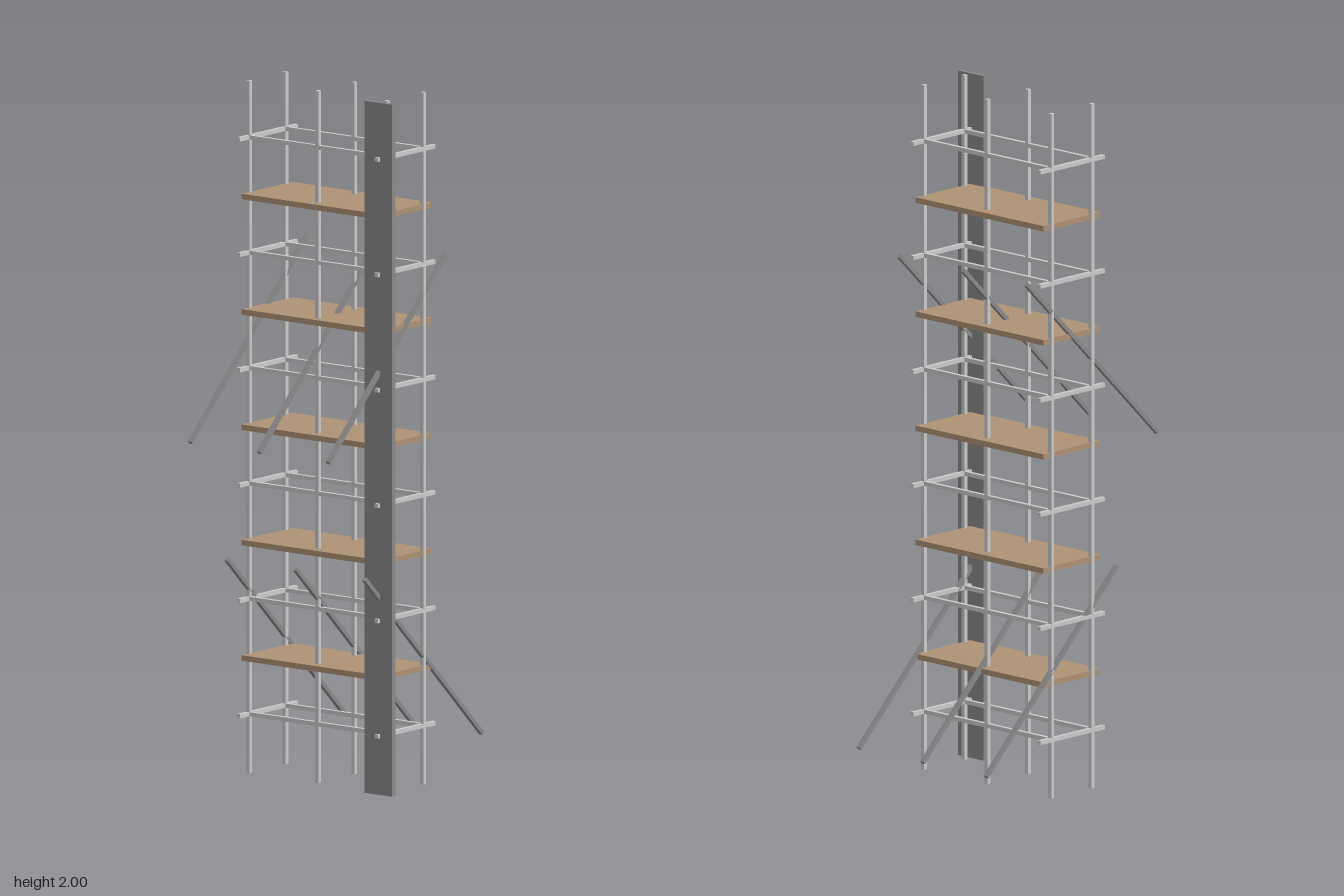
import * as THREE from 'three';

export function createModel() {
  const model = new THREE.Group();
  const steel = new THREE.MeshStandardMaterial({ color: 0xcccccc });
  const darkSteel = new THREE.MeshStandardMaterial({ color: 0x8a8a8a });
  const wood = new THREE.MeshStandardMaterial({ color: 0xae9275 });

  const T = 0.012; // bar thickness
  const columns = [-0.272, -0.0225, 0.227];
  const rows = [-0.083, 0.083];
  const midX = columns[1];
  const bay = 1 / 3;

  function box(name, size, position, material) {
    const mesh = new THREE.Mesh(new THREE.BoxGeometry(...size), material);
    mesh.name = name;
    mesh.position.set(...position);
    model.add(mesh);
    return mesh;
  }

  // Upright poles
  for (const x of columns) for (const z of rows) box('upright', [T, 2, T], [x, 1, z], steel);

  // Guard rails halfway up each bay: long ledgers and end transoms
  for (let i = 0; i < 6; i++) {
    const y = (i + 0.5) * bay + 0.003;
    for (const z of rows) box('ledger', [0.511, T, T], [midX, y, z], steel);
    for (const x of [columns[0], columns[2]]) box('transom', [T, T, 0.264], [x, y, -0.001], steel);
  }

  // Wooden decks
  for (let i = 1; i < 6; i++) {
    box('deck', [0.503, 0.016, 0.232], [midX, i * bay + 0.002, -0.001], wood);
  }

  // Diagonal braces, crossing the front and rear uprights
  for (const x of columns) {
    box('upperBrace', [T, T, 0.75], [x, 1.255, 0.084], darkSteel).rotation.x = Math.PI / 4.06;
    box('lowerBrace', [T, T, 0.75], [x, 0.37, -0.083], darkSteel).rotation.x = -Math.PI / 4.06;
  }

  // Full-height plate on the front corner
  box('frontPlate', [0.1, 2, 0.015], [0.227, 1, 0.115], darkSteel);

  return model;
}
